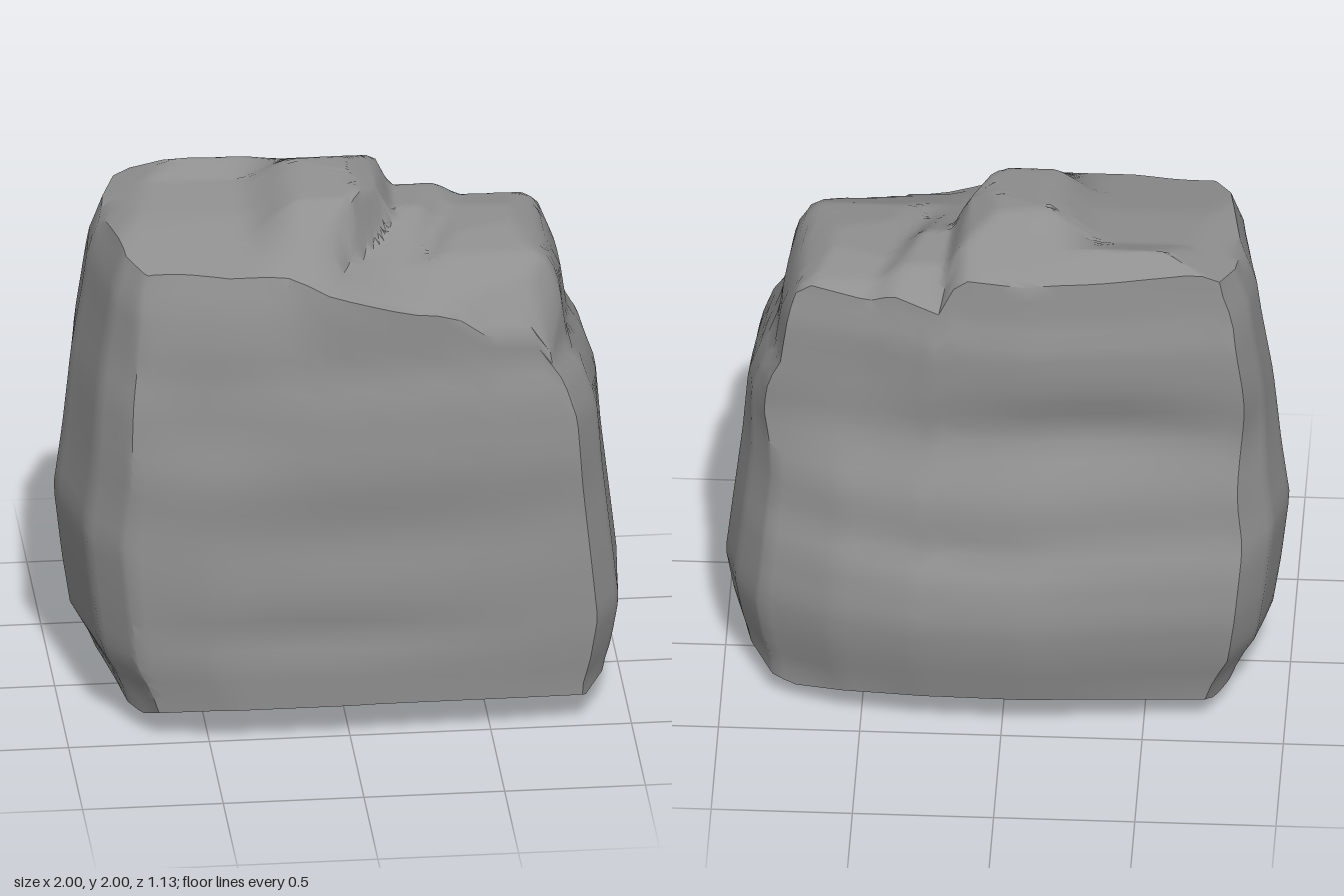
import * as THREE from 'three';
import { toCreasedNormals } from 'three/addons/utils/BufferGeometryUtils.js';

// Piecewise linear lookup in [position, value] pairs
function curve(pairs, p) {
  if (p <= pairs[0][0]) return pairs[0][1];
  for (let i = 1; i < pairs.length; i++) {
    const [a, va] = pairs[i - 1], [b, vb] = pairs[i];
    if (p <= b) return va + (vb - va) * (p - a) / (b - a);
  }
  return pairs[pairs.length - 1][1];
}
const { lerp } = THREE.MathUtils;
const step = (a, b, v) => THREE.MathUtils.smoothstep(v, a, b);
const bump = (x, y, cx, cy, rx, ry) => Math.exp(-(((x - cx) / rx) ** 2) - ((y - cy) / ry) ** 2);

// Extents of the boulder by height
const LEFT = [[0.1, 0.84], [0.2, 0.88], [0.3, 0.94], [0.5, 0.97], [0.77, 1], [1, 0.97], [1.3, 0.94], [1.55, 0.9], [1.7, 0.88], [1.83, 0.83]];
const RIGHT = [[0.15, 0.94], [0.25, 0.97], [0.42, 1], [0.6, 0.98], [0.95, 0.94], [1.2, 0.92], [1.34, 0.87], [1.41, 0.82], [1.62, 0.79], [1.75, 0.75]];
const FRONT = [[0.15, 0.545], [0.35, 0.56], [0.65, 0.56], [0.87, 0.55], [1.05, 0.56], [1.3, 0.54], [1.42, 0.51], [1.68, 0.51], [1.8, 0.49]];
const BACK = [[0.15, 0.5], [0.35, 0.55], [0.5, 0.57], [0.7, 0.54], [0.8, 0.49], [0.98, 0.47], [1.1, 0.42], [1.2, 0.39], [1.4, 0.41], [1.6, 0.41], [1.68, 0.38], [1.87, 0.36]];

// Plan outlines in unit proportions, walked along the back first
const PLAN_LOW = [[-1, -0.1], [-0.95, -0.5], [-0.85, -0.79], [-0.5, -0.88], [-0.1, -1], [0.3, -0.97], [0.6, -0.85], [0.87, -0.6],
  [0.96, -0.3], [1, 0], [0.97, 0.62], [0.88, 0.89], [0.6, 0.95], [0, 1], [-0.5, 1], [-0.8, 0.89], [-0.92, 0.6]];
const PLAN_HIGH = [[-1, -0.1], [-0.98, -0.5], [-0.92, -0.82], [-0.5, -0.92], [-0.1, -1], [0.3, -0.95], [0.62, -0.75], [0.97, -0.62],
  [1, -0.3], [1, 0], [0.97, 0.58], [0.88, 0.89], [0.6, 0.95], [0, 1], [-0.5, 1], [-0.82, 0.89], [-0.93, 0.6]];
const SUB = 6, COLS = PLAN_LOW.length * SUB;

function outline(col, y) {
  const k = Math.floor(col / SUB), f = (col % SUB) / SUB, h = step(0.9, 1.45, y);
  const n = (k + 1) % PLAN_LOW.length;
  const [u, w] = [0, 1].map(i => lerp(lerp(PLAN_LOW[k][i], PLAN_LOW[n][i], f), lerp(PLAN_HIGH[k][i], PLAN_HIGH[n][i], f), h));
  const x = u * curve(u < 0 ? LEFT : RIGHT, y);
  let z = w * curve(w < 0 ? BACK : FRONT, y);
  // shallow hollows worn into the broad faces, and the lean of the upper left front
  const front = step(0.8, 0.95, w), back = step(0.75, 0.9, -w);
  z -= front * (0.02 * bump(x, y, -0.1, 0.42, 0.5, 0.07) + 0.015 * bump(x, y, 0.1, 0.78, 0.6, 0.12) + 0.03 * bump(x, y, -0.5, 1.25, 0.25, 0.2));
  z -= front * 0.06 * step(0.05, 0.25, -x) * step(1.4, 1.85, y);
  z += back * (0.03 * bump(x, y, -0.3, 1.25, 0.4, 0.12) + 0.02 * bump(x, y, 0.1, 0.75, 0.3, 0.06));
  return [x, z];
}

// Three stepped blocks that make up the crown
const TALL_X = [[-0.88, 1.74], [-0.82, 1.83], [-0.57, 1.94], [-0.24, 1.95], [-0.15, 2], [0.04, 1.99], [0.15, 1.93]];
const RIDGE_Z = [[-0.42, 1.8], [-0.34, 1.87], [-0.08, 2], [0.2, 1.97], [0.43, 1.79], [0.52, 1.73]];
const SHOULDER_Z = [[-0.42, 1.78], [-0.34, 1.86], [-0.24, 1.94], [-0.14, 1.9], [0.1, 1.87], [0.43, 1.79], [0.52, 1.75]];
const MID_Z = [[-0.45, 1.66], [-0.2, 1.82], [0, 1.83], [0.3, 1.73], [0.5, 1.65]];
const LOW_X = [[0.3, 1.74], [0.4, 1.78], [0.62, 1.79], [0.73, 1.73], [0.79, 1.6], [0.84, 1.4]];
const LOW_Z = [[-0.45, 1.6], [-0.22, 1.76], [0, 1.8], [0.25, 1.76], [0.5, 1.64]];
const LOW_RIM = [[0.22, 1.64], [0.37, 1.63], [0.47, 1.55], [0.67, 1.49], [0.75, 1.36], [0.8, 1.26]];
const SPLIT_A = [[-0.38, 0.15], [0.06, 0.13], [0.48, -0.18]];
const SPLIT_B = [[-0.28, 0.41], [0.2, 0.25], [0.48, 0.2]];

function crown(x, z) {
  const tall = Math.min(curve(TALL_X, x), lerp(curve(SHOULDER_Z, z), curve(RIDGE_Z, z), step(-0.36, -0.14, x)));
  const mid = curve(MID_Z, z) + 0.3 * Math.max(0, 0.2 - x) * step(0.15, 0.45, z);
  const low = Math.min(curve(LOW_X, x), curve(LOW_Z, z), curve(LOW_RIM, x) + Math.max(0, 0.48 - z) * 1.5);
  const a = curve(SPLIT_A, z), b = curve(SPLIT_B, z);
  return lerp(tall, lerp(mid, low, step(b - 0.03, b + 0.08, x)), step(a, a + 0.08, x));
}

// Underside: a keel line with sloping planes rising to the bottom rim
const UNDER_Z = [[-0.57, 0.19], [-0.5, 0.16], [-0.17, 0], [0.3, 0.03], [0.54, 0.14]];
const UNDER_X = [[-0.88, 0.14], [-0.8, 0.09], [-0.47, 0], [0, 0.01], [0.52, 0.03], [0.83, 0.1], [0.95, 0.15]];
const under = (x, z) => Math.max(curve(UNDER_Z, z), curve(UNDER_X, x));

// The crown fans out from a point on the main step, so its edges follow that step
const HUB = [0.13, 0.06];

function boulderGeometry() {
  const rows = [];
  const addRow = fn => rows.push(Array.from({ length: COLS }, (_, c) => fn(c)));
  // height at which each column meets the crown
  const rim = Array.from({ length: COLS }, (_, c) => {
    let y = 1.7;
    for (let i = 0; i < 40; i++) y += 0.25 * (crown(...outline(c, y)) - y);
    return y;
  });
  const BASE = 10;
  for (let r = 0; r < BASE; r++) {
    addRow(c => {
      const [x, z] = outline(c, 0.15).map(v => v * r / BASE);
      return [x, under(x, z), z];
    });
  }
  const SIDE = 28;
  for (let r = 0; r <= SIDE; r++) {
    addRow(c => {
      const y = lerp(under(...outline(c, 0.15)), rim[c], r / SIDE);
      const [x, z] = outline(c, y);
      return [x, y, z];
    });
  }
  const CAP = 22;
  for (let r = CAP - 1; r >= 0; r--) {
    addRow(c => {
      const edge = outline(c, rim[c]);
      const x = lerp(HUB[0], edge[0], r / CAP), z = lerp(HUB[1], edge[1], r / CAP);
      return [x, crown(x, z), z];
    });
  }

  const index = [], last = rows.length - 1;
  for (let r = 0; r < last; r++) {
    for (let c = 0; c < COLS; c++) {
      const d = (c + 1) % COLS, p = r * COLS, q = p + COLS;
      if (r < last - 1) index.push(p + c, q + c, q + d);
      else index.push(p + c, q + c, p + d);
      if (r > 0 && r < last - 1) index.push(p + c, q + d, p + d);
    }
  }
  const geometry = new THREE.BufferGeometry();
  geometry.setAttribute('position', new THREE.Float32BufferAttribute(rows.flat(2), 3));
  geometry.setIndex(index);
  return toCreasedNormals(geometry, 0.75);
}

export function createModel() {
  const stone = new THREE.MeshStandardMaterial({ color: 0x909090 });
  stone.name = 'grey stone';
  const boulder = new THREE.Mesh(boulderGeometry(), stone);
  boulder.name = 'boulder';
  const group = new THREE.Group();
  group.name = 'rock';
  group.add(boulder);
  return group;
}
